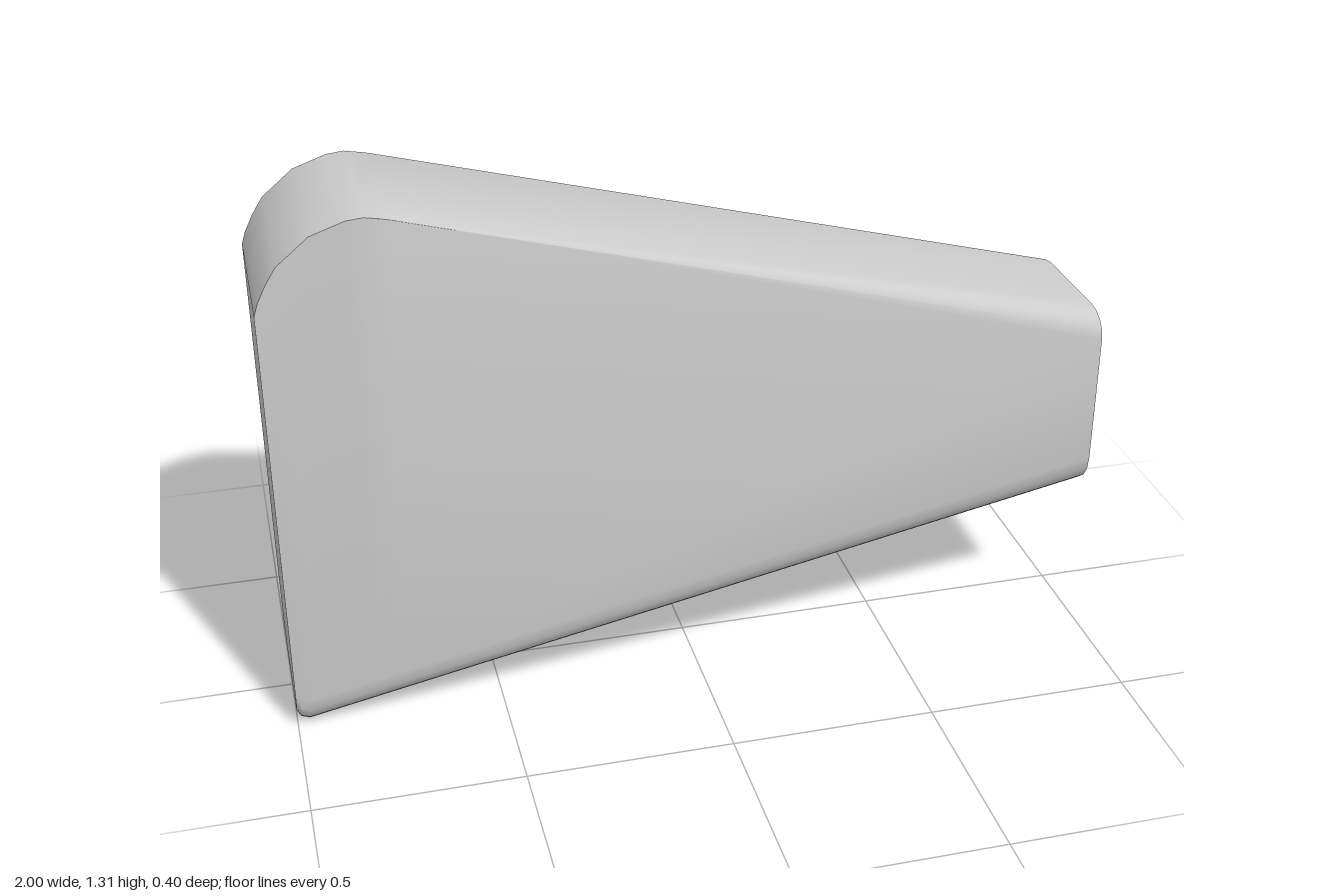
import * as THREE from 'three';
import { toCreasedNormals } from 'three/addons/utils/BufferGeometryUtils.js';

const HALF_DEPTH = 0.2;
const STEPS = 4;

// Cross-sections from the tall end to the short end: x, bottom, top, top rounding (0 to 1)
const SECTIONS = [
  [-1, 0.03, 1.11, 0],
  [-0.99, 0.01, 1.14, 0],
  [-0.97, 0.002, 1.18, 0],
  [-0.945, 0.007, 1.22, 0],
  [-0.87, 0.022, 1.283, 0],
  [-0.79, 0.038, 1.311, 0],
  [-0.75, 0.046, 1.315, 0],
  [-0.7, 0.056, 1.306, 0.02],
  [1, 0.395, 0.872, 1],
];

// Rounded outline, counter-clockwise seen from +x
function outline([x, bottom, top, round]) {
  const points = [];
  for (let q = 0; q < 4; q++) {
    const upper = q < 2;
    const rz = upper ? 0.075 * round : 0.07;
    const ry = upper ? 0.062 * round : 0.085;
    const side = q === 0 || q === 3 ? -1 : 1;
    const cz = side * (HALF_DEPTH - rz);
    const cy = upper ? top - ry : bottom + ry;
    for (let i = 0; i <= STEPS; i++) {
      const a = (q + i / STEPS) * Math.PI / 2;
      points.push(new THREE.Vector3(x, cy + ry * Math.sin(a), cz - rz * Math.cos(a)));
    }
  }
  return points;
}

function wedgeGeometry() {
  const positions = [];
  const triangle = (a, b, c) => {
    const area = b.clone().sub(a).cross(c.clone().sub(a)).length();
    if (area > 1e-9) for (const p of [a, b, c]) positions.push(p.x, p.y, p.z);
  };
  const rings = SECTIONS.map(outline);
  const n = rings[0].length;

  // Skin between neighbouring sections
  for (let k = 0; k < rings.length - 1; k++) {
    for (let j = 0; j < n; j++) {
      const m = (j + 1) % n;
      triangle(rings[k][j], rings[k][m], rings[k + 1][j]);
      triangle(rings[k][m], rings[k + 1][m], rings[k + 1][j]);
    }
  }

  // Flat end caps
  const first = rings[0], last = rings[rings.length - 1];
  for (let j = 1; j < n - 1; j++) {
    triangle(first[0], first[j + 1], first[j]);
    triangle(last[0], last[j], last[j + 1]);
  }

  const geometry = new THREE.BufferGeometry();
  geometry.setAttribute('position', new THREE.Float32BufferAttribute(positions, 3));
  return toCreasedNormals(geometry, 0.6);
}

export function createModel() {
  const grey = new THREE.MeshStandardMaterial({ color: 0xcccccc });
  grey.name = 'light grey';

  const wedge = new THREE.Mesh(wedgeGeometry(), grey);
  wedge.name = 'taperedBlock';

  const model = new THREE.Group();
  model.name = 'model';
  model.add(wedge);
  return model;
}
